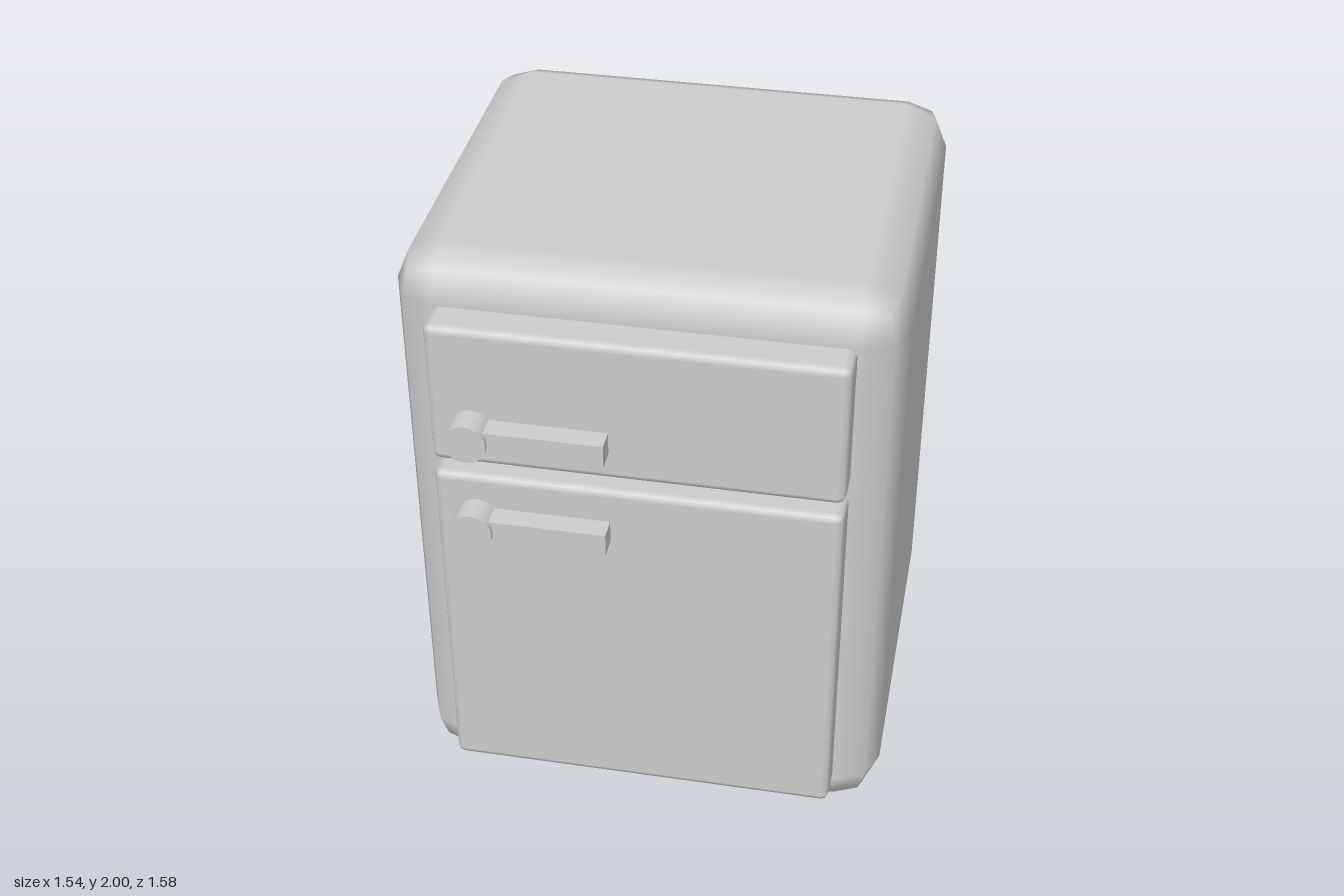
import * as THREE from 'three';
import { RoundedBoxGeometry } from 'three/addons/geometries/RoundedBoxGeometry.js';

const material = new THREE.MeshStandardMaterial({ color: 0xcccccc });

function addMesh(parent, name, geometry, x, y, z) {
  const mesh = new THREE.Mesh(geometry, material);
  mesh.name = name;
  mesh.position.set(x, y, z);
  parent.add(mesh);
  return mesh;
}

// Door slab with softened edges, its back sunk into the cabinet
function addDoor(parent, name, bottom, top) {
  const back = 0.55, front = 0.705;
  const geometry = new RoundedBoxGeometry(1.255, top - bottom, front - back, 1, 0.025);
  addMesh(parent, name, geometry, 0, (bottom + top) / 2, (back + front) / 2);
}

// Latch handle: round pivot with a flat bar pointing to the middle of the door
function addHandle(parent, name, y) {
  const handle = new THREE.Group();
  handle.name = name;
  handle.position.set(-0.495, y, 0.7);
  const pivot = new THREE.CylinderGeometry(0.065, 0.065, 0.092, 32).rotateX(Math.PI / 2);
  addMesh(handle, 'handlePivot', pivot, 0, 0, 0.046);
  addMesh(handle, 'handleBar', new THREE.BoxGeometry(0.415, 0.075, 0.075), 0.2075, 0, 0.0375);
  parent.add(handle);
}

export function createModel() {
  const fridge = new THREE.Group();
  fridge.name = 'refrigerator';

  // Cabinet with wide rounded edges
  addMesh(fridge, 'cabinet', new RoundedBoxGeometry(1.54, 2, 1.385, 1, 0.14), 0, 1, -0.1);

  addDoor(fridge, 'freezerDoor', 1.38, 1.86);
  addDoor(fridge, 'mainDoor', 0.145, 1.335);

  addHandle(fridge, 'freezerHandle', 1.515);
  addHandle(fridge, 'mainHandle', 1.182);

  return fridge;
}
